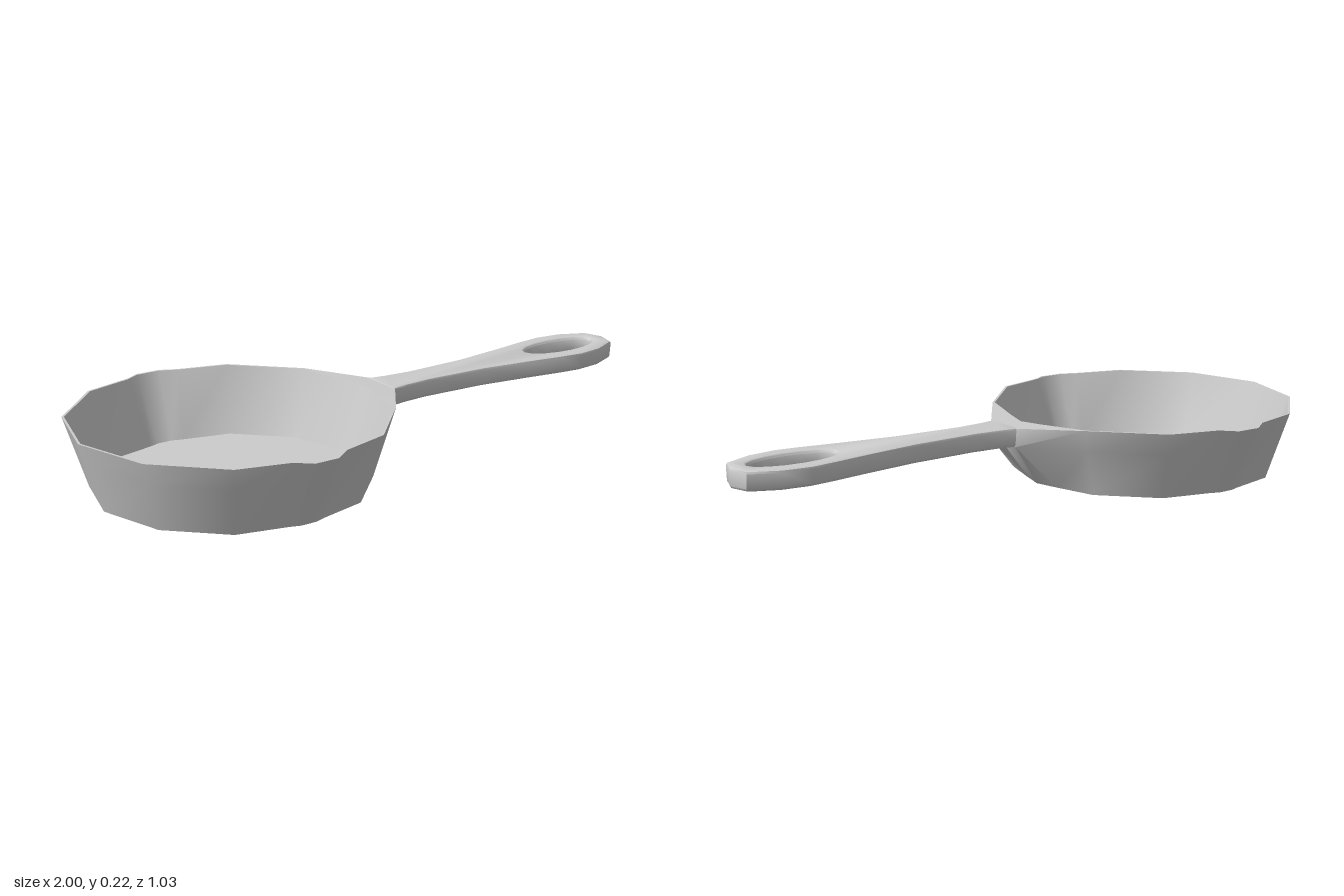
import * as THREE from 'three';
import { toCreasedNormals } from 'three/addons/utils/BufferGeometryUtils.js';

const material = new THREE.MeshStandardMaterial({ color: 0xcccccc, side: THREE.DoubleSide });
const CX = -0.5;          // pan centre
const HEIGHT = 0.22;
const WALL = 0.985;       // inner wall scale about the pan centre

// Half of the pan, from the far end round to the handle: base x, z and rim x, z, rim y.
// The optional last pair is the x, z where the flare meets the handle.
const HALF = [
  [-0.93, 0, -1, 0, HEIGHT],
  [-0.87, 0.215, -0.93, 0.25, HEIGHT],
  [-0.715, 0.37, -0.75, 0.435, HEIGHT],
  [-0.56, 0.408, -0.59, 0.48, HEIGHT],
  [-0.525, 0.42, -0.54, 0.515, 0.217],   // pouring lip
  [-0.475, 0.42, -0.46, 0.515, 0.217],
  [-0.44, 0.408, -0.41, 0.48, HEIGHT],
  [-0.285, 0.37, -0.25, 0.435, HEIGHT],
  [-0.13, 0.215, -0.07, 0.25, HEIGHT],
  [-0.09, 0.077, -0.02, 0.08, 0.214, 0.06, 0.068],
  [-0.07, 0, 0, 0, 0.212, 0.06, 0],
];

// Cross-section of the pan through one column: under the base, up the wall, over the rim, down inside
function panSection([bx, bz, rx, rz, ry, hx, hz]) {
  const base = new THREE.Vector3(bx, 0, bz);
  const rim = new THREE.Vector3(rx, ry, rz);
  const flared = hx !== undefined;
  const lip = flared ? new THREE.Vector3(hx, 0.21, hz) : rim.clone();
  const shoulder = flared ? new THREE.Vector3(hx, 0.15, hz * 0.95) : base.clone().lerp(rim, 0.68);
  const inset = (p, y) => new THREE.Vector3(CX + (p.x - CX) * WALL, y, p.z * WALL);
  return [
    new THREE.Vector3(CX, 0, 0), base, shoulder, lip,
    inset(rim, ry), inset(base, 0.008), new THREE.Vector3(CX, 0.008, 0),
  ];
}

// Skin a closed ring of cross-sections, leaving out collapsed triangles
function loft(sections, crease) {
  const positions = [];
  const tri = new THREE.Triangle();
  const add = (a, b, c) => {
    if (tri.set(a, b, c).getArea() > 1e-7) {
      for (const p of [a, b, c]) positions.push(p.x, p.y, p.z);
    }
  };
  sections.forEach((s, j) => {
    const n = sections[(j + 1) % sections.length];
    for (let i = 0; i < s.length - 1; i++) {
      add(s[i], n[i], n[i + 1]);
      add(s[i], n[i + 1], s[i + 1]);
    }
  });
  const geometry = new THREE.BufferGeometry();
  geometry.setAttribute('position', new THREE.Float32BufferAttribute(positions, 3));
  return toCreasedNormals(geometry, crease);
}

function createPan() {
  const mirrored = HALF.slice(1, -1).reverse().map(([bx, bz, rx, rz, ry, hx, hz]) =>
    [bx, -bz, rx, -rz, ry, hx, hz === undefined ? undefined : -hz]);
  return loft([...HALF, ...mirrored].map(panSection), 0.75);
}

function createHandle() {
  // Waisted outline that swells around the hanging hole
  const side = [[0.05, 0.07], [0.11, 0.06], [0.2, 0.053], [0.42, 0.062], [0.6, 0.088],
    [0.72, 0.108], [0.8, 0.117], [0.89, 0.106], [0.98, 0.065], [1, 0]];
  const outline = [...side, ...side.slice(0, -1).reverse().map(([x, z]) => [x, -z])];
  const shape = new THREE.Shape(outline.map(([x, z]) => new THREE.Vector2(x, z)));

  // Oval hanging hole
  const hole = [];
  for (let i = 0; i < 16; i++) {
    const a = (i / 16) * Math.PI * 2;
    hole.push(new THREE.Vector2(0.8 + 0.145 * Math.cos(a), 0.06 * Math.sin(a)));
  }
  shape.holes.push(new THREE.Path(hole));

  const bevel = 0.009;
  const geometry = new THREE.ExtrudeGeometry(shape, {
    depth: 0.062 - 2 * bevel, bevelEnabled: true, bevelSize: bevel,
    bevelThickness: bevel, bevelOffset: -bevel, bevelSegments: 2,
  });
  geometry.rotateX(-Math.PI / 2).translate(0, 0.15 + bevel, 0);

  // Sides lean in slightly towards the underside
  const p = geometry.attributes.position;
  for (let i = 0; i < p.count; i++) {
    p.setZ(i, p.getZ(i) * THREE.MathUtils.mapLinear(p.getY(i), 0.15, 0.212, 0.95, 1.02));
  }
  return toCreasedNormals(geometry, 0.8);
}

export function createModel() {
  const group = new THREE.Group();
  group.name = 'skillet';
  for (const [name, geometry] of [['pan', createPan()], ['handle', createHandle()]]) {
    const mesh = new THREE.Mesh(geometry, material);
    mesh.name = name;
    group.add(mesh);
  }
  return group;
}
